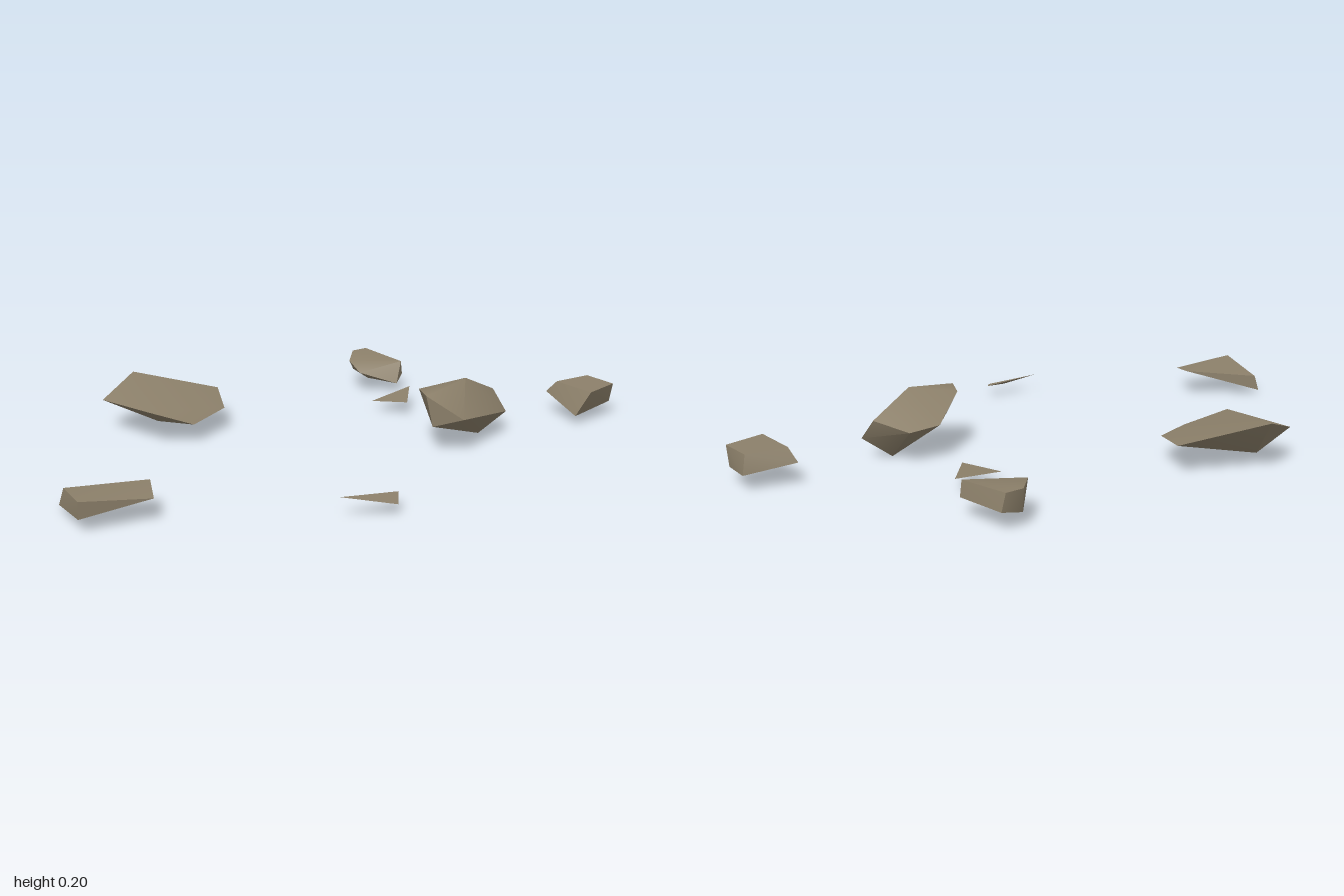
import * as THREE from 'three';
import { ConvexGeometry } from 'three/addons/geometries/ConvexGeometry.js';
import { toCreasedNormals } from 'three/addons/utils/BufferGeometryUtils.js';

const stone = new THREE.MeshStandardMaterial({ color: 0x8c806a });
stone.name = 'stone';

// A chipped stone: the convex hull of its corners, softened across shallow edges
function rock(name, corners) {
  const hull = new ConvexGeometry(corners.map((c) => new THREE.Vector3(...c)));
  const mesh = new THREE.Mesh(toCreasedNormals(hull, 0.8), stone);
  mesh.name = name;
  return mesh;
}

// A thin three-cornered flake with a slightly bulging underside
function shard(name, corners) {
  const belly = [0, 1, 2].map((i) => corners.reduce((sum, c) => sum + c[i], 0) / 3);
  belly[1] -= 0.008;
  return rock(name, [...corners, belly]);
}

export function createModel() {
  const group = new THREE.Group();
  group.name = 'scatteredRocks';
  group.add(
    // broad slab rising towards the back
    rock('backSlab', [
      [-0.28, 0.149, -0.645], [-0.44, 0.095, -0.575], [-0.05, 0.09, -0.49],
      [-0.135, 0.07, -0.33], [-0.3, 0.06, -0.26], [-0.42, 0.104, -0.33],
      [-0.31, 0.035, -0.56], [-0.22, 0.045, -0.47], [-0.33, 0.04, -0.42],
    ]),
    // tallest boulder
    rock('boulder', [
      [0.21, 0.177, 0.255], [0.395, 0.2, 0.23], [0.255, 0.175, 0.17],
      [0.39, 0.11, 0.08], [0.49, 0.1, 0.095], [0.555, 0.13, 0.19],
      [0.562, 0.065, 0.245], [0.475, 0, 0.21], [0.275, 0.112, 0.355],
      [0.225, 0.08, 0.27],
    ]),
    // smaller stones
    rock('backStone', [
      [0.64, 0.107, -0.553], [0.655, 0.055, -0.553], [0.58, 0.107, -0.553],
      [0.58, 0.04, -0.55], [0.495, 0.1, -0.468], [0.49, 0.07, -0.404],
      [0.6, 0.028, -0.335], [0.64, 0.097, -0.36], [0.65, 0.05, -0.365],
      [0.58, 0.024, -0.47],
    ]),
    rock('leftStone', [
      [0.835, 0.105, 0.357], [0.975, 0.105, 0.325], [0.985, 0.106, 0.2],
      [1, 0.048, 0.19], [0.84, 0.065, 0.152], [0.85, 0.105, 0.19],
      [0.79, 0.028, 0.335], [0.975, 0.042, 0.31],
    ]),
    rock('rightStone', [
      [-0.94, 0.01, 0.02], [-0.93, 0.06, 0.03], [-0.735, 0.082, 0.17],
      [-0.79, 0.066, 0.275], [-1, 0.088, 0.23], [-1, 0.038, 0.23],
    ]),
    // loose flakes
    shard('backShard', [[0.38, 0.031, -0.206], [0.56, 0.049, -0.222], [0.435, 0.042, -0.09]]),
    shard('frontShard', [[-0.37, 0.056, 0.555], [-0.18, 0.04, 0.58], [-0.23, 0.028, 0.638]]),
  );
  return group;
}
